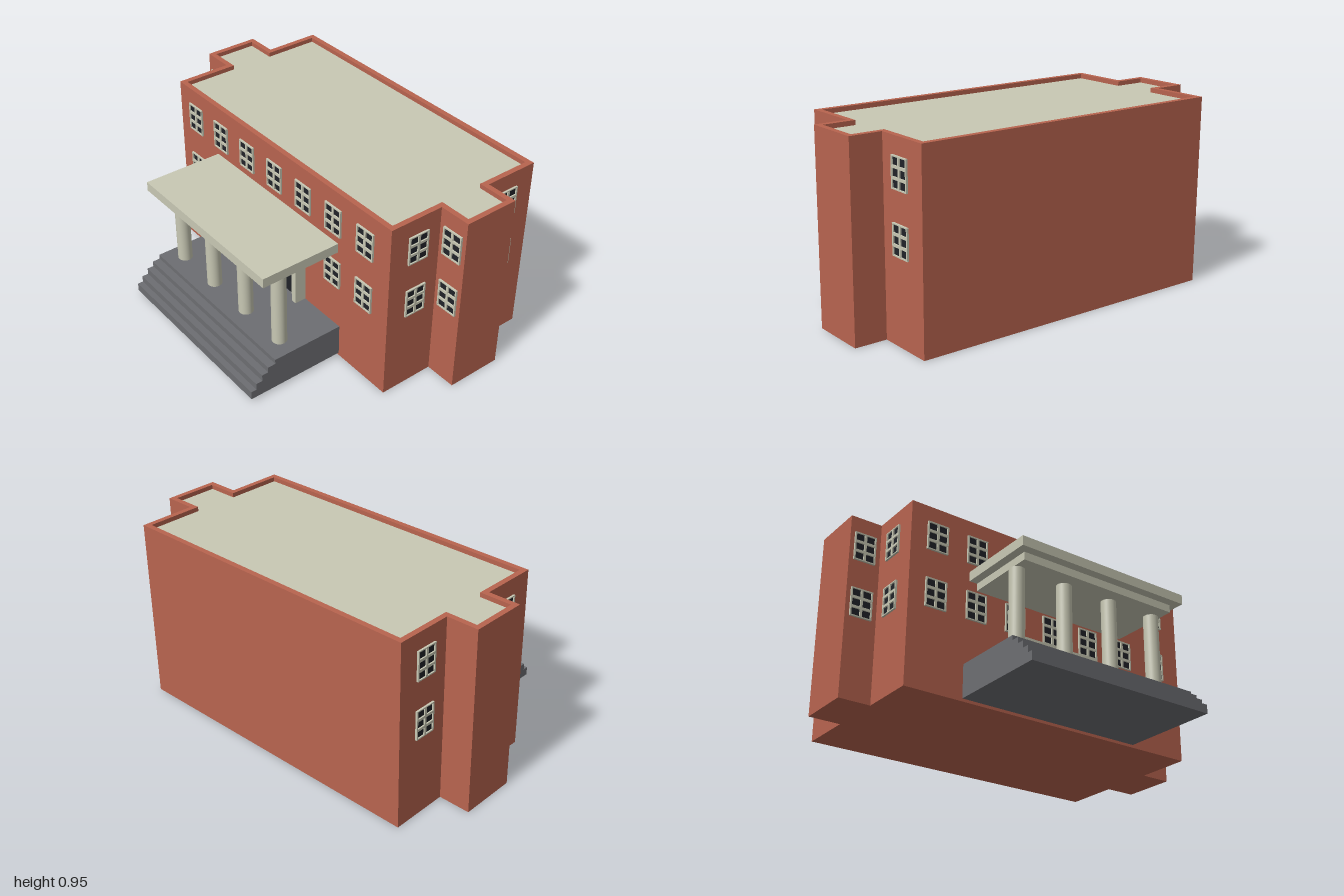
import * as THREE from 'three';

const mat = (color) => new THREE.MeshStandardMaterial({ color });
const brick = mat(0xb8644f), stone = mat(0xc8c8b4), slate = mat(0x6d6e72), dark = mat(0x202228);

function add(parent, name, geometry, material) {
  const mesh = new THREE.Mesh(geometry, material);
  mesh.name = name;
  parent.add(mesh);
  return mesh;
}

// Box given by its limits along each axis
function block(parent, name, material, [x0, x1], [y0, y1], [z0, z1]) {
  const mesh = add(parent, name, new THREE.BoxGeometry(x1 - x0, y1 - y0, z1 - z0), material);
  mesh.position.set((x0 + x1) / 2, (y0 + y1) / 2, (z0 + z1) / 2);
  return mesh;
}

// Cross-shaped floor plan, drawn inwards by an inset
function planPoints(inset) {
  const x0 = -0.175 + inset, x1 = 0.705 - inset, z = 0.835 - inset;
  const b0 = 0.118 + inset, b1 = 0.41 - inset, bz = 1 - inset;
  return [
    [x0, -z], [b0, -z], [b0, -bz], [b1, -bz], [b1, -z], [x1, -z],
    [x1, z], [b1, z], [b1, bz], [b0, bz], [b0, z], [x0, z],
  ].map(([x, y]) => new THREE.Vector2(x, y));
}

function planLayer(parent, name, material, shape, y0, y1) {
  const geometry = new THREE.ExtrudeGeometry(shape, { depth: y1 - y0, bevelEnabled: false });
  geometry.rotateX(-Math.PI / 2);
  add(parent, name, geometry, material).position.y = y0;
}

// Window frame with two columns and three rows of panes
const W = 0.115, H = 0.15;
function windowFrameGeometry() {
  const rect = (Type, x, y, w, h) => new Type([
    new THREE.Vector2(x, y), new THREE.Vector2(x + w, y),
    new THREE.Vector2(x + w, y + h), new THREE.Vector2(x, y + h),
  ]);
  const shape = rect(THREE.Shape, -W / 2, -H / 2, W, H);
  for (const x of [-0.05, 0.006]) {
    for (const y of [-0.069, -0.0185, 0.032]) shape.holes.push(rect(THREE.Path, x, y, 0.044, 0.037));
  }
  return new THREE.ExtrudeGeometry(shape, { depth: 0.01, bevelEnabled: false });
}
const frameGeometry = windowFrameGeometry();
const paneGeometry = new THREE.PlaneGeometry(W - 0.006, H - 0.006);

// One window on each storey
function addWindows(parent, x, z, turn) {
  for (const y of [0.495, 0.795]) {
    const group = new THREE.Group();
    group.name = 'window';
    add(group, 'windowFrame', frameGeometry, stone);
    add(group, 'windowPanes', paneGeometry, dark).position.z = 0.003;
    group.position.set(x, y, z);
    group.rotation.y = turn;
    parent.add(group);
  }
}

export function createModel() {
  const model = new THREE.Group();
  model.name = 'building';

  // Brick walls, roof and parapet
  planLayer(model, 'walls', brick, new THREE.Shape(planPoints(0)), 0, 0.925);
  const rim = new THREE.Shape(planPoints(0));
  rim.holes.push(new THREE.Path(planPoints(0.028)));
  planLayer(model, 'parapet', brick, rim, 0.925, 0.955);
  planLayer(model, 'roof', stone, new THREE.Shape(planPoints(0.028)), 0.925, 0.932);

  // Windows on both ends and on the sides of the end bays
  for (const s of [1, -1]) {
    for (const x of [-0.013, 0.544]) addWindows(model, x, s * 0.835, s > 0 ? 0 : Math.PI);
    addWindows(model, 0.118, s * 0.92, -Math.PI / 2);
  }
  // Windows along the entrance side
  for (let i = 0; i < 7; i++) addWindows(model, -0.175, -0.69 + i * 0.2265, -Math.PI / 2);

  // Entrance platform and steps as one stepped profile
  const steps = new THREE.Shape();
  steps.moveTo(-0.175, 0.015);
  steps.lineTo(-0.705, 0.015);
  const treads = [[-0.705, 0.06], [-0.675, 0.095], [-0.64, 0.13], [-0.605, 0.16], [-0.563, 0.185]];
  let lastY = 0.015;
  for (const [x, y] of treads) {
    steps.lineTo(x, lastY);
    steps.lineTo(x, y);
    lastY = y;
  }
  steps.lineTo(-0.175, 0.185);
  const stepsGeometry = new THREE.ExtrudeGeometry(steps, { depth: 1.025, bevelEnabled: false });
  add(model, 'entranceSteps', stepsGeometry, slate).position.z = -0.525;

  // Doorway surround with a dark door set back inside
  block(model, 'doorPost', stone, [-0.237, -0.175], [0.185, 0.39], [-0.25, -0.22]);
  block(model, 'doorPost', stone, [-0.237, -0.175], [0.185, 0.39], [0.2, 0.23]);
  block(model, 'doorLintel', stone, [-0.237, -0.175], [0.36, 0.39], [-0.22, 0.2]);
  block(model, 'door', dark, [-0.2, -0.175], [0.185, 0.36], [-0.22, 0.2]);

  // Columns
  const columnGeometry = new THREE.CylinderGeometry(0.038, 0.038, 0.4, 32);
  for (let i = 0; i < 4; i++) {
    add(model, 'column', columnGeometry, stone).position.set(-0.46, 0.385, -0.43 + i * 0.275);
  }

  // Canopy
  block(model, 'canopyBeam', stone, [-0.56, -0.175], [0.585, 0.626], [-0.46, 0.435]);
  block(model, 'canopySlab', stone, [-0.606, -0.175], [0.625, 0.675], [-0.503, 0.478]);

  return model;
}
